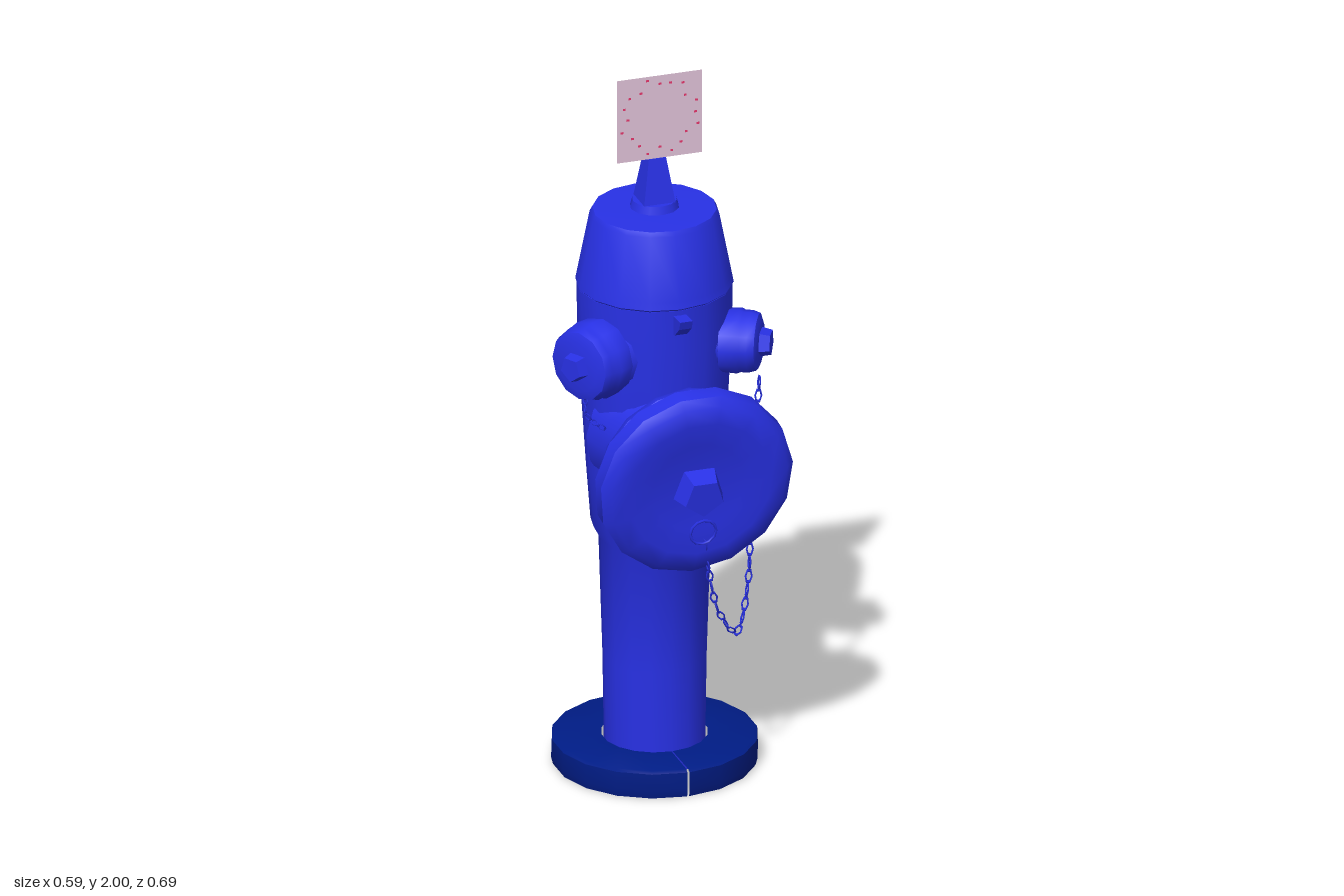
import * as THREE from 'three';
import { toCreasedNormals } from 'three/addons/utils/BufferGeometryUtils.js';

const AXIS_X = 0.01, AXIS_Z = -0.07;

export function createModel() {
  const model = new THREE.Group();
  model.name = 'fireHydrant';
  const mat = (name, color, side = THREE.FrontSide) => {
    const m = new THREE.MeshStandardMaterial({ color, side });
    m.name = name;
    return m;
  };
  const blue = mat('hydrant blue', 0x2831e6);
  const navy = mat('base navy', 0x001c86, THREE.DoubleSide);
  const pink = mat('sign pink', 0xe0c2d8, THREE.DoubleSide);
  const red = mat('speckle red', 0xff3c78, THREE.DoubleSide);

  const add = (parent, name, geo, material, x = 0, y = 0, z = 0) => {
    const mesh = new THREE.Mesh(geo, material);
    mesh.name = name;
    mesh.position.set(x, y, z);
    parent.add(mesh);
    return mesh;
  };
  const lathe = (pts, sides, start = 0, length = Math.PI * 2) => toCreasedNormals(
    new THREE.LatheGeometry(pts.map(p => new THREE.Vector2(...p)), sides, start, length), 0.75);
  // Turned part whose axis points along +z
  const turned = (pts, sides) => lathe(pts, sides).rotateX(Math.PI / 2);

  // Base flange: two open-bottomed halves with a narrow gap
  for (const i of [0, 1]) {
    add(model, 'baseFlangeHalf', lathe([[0.272, 0], [0.277, 0.02], [0.275, 0.07], [0.265, 0.076], [0.142, 0.076]],
      9, i * Math.PI + 0.01, Math.PI - 0.02), navy, AXIS_X, 0, AXIS_Z);
  }

  // Standpipe and barrel
  add(model, 'barrel', lathe([[0, 0.01], [0.134, 0.01], [0.138, 0.3], [0.149, 0.65], [0.17, 0.69],
    [0.182, 0.85], [0.195, 1.05], [0.205, 1.25], [0.207, 1.375], [0, 1.375]], 16), blue, AXIS_X, 0, AXIS_Z);

  // Bonnet
  add(model, 'bonnet', lathe([[0.2, 1.37], [0.21, 1.38], [0.206, 1.4], [0.172, 1.575], [0.165, 1.588], [0, 1.592]], 16),
    blue, AXIS_X, 0, AXIS_Z);

  // Operating nut with its collar
  add(model, 'nutCollar', new THREE.CylinderGeometry(0.06, 0.066, 0.022, 12), blue, AXIS_X, 1.604, AXIS_Z);
  const nut = new THREE.CylinderGeometry(0.034, 0.062, 0.125, 4).rotateY(Math.PI / 4);
  add(model, 'operatingNut', toCreasedNormals(nut, 0.5), blue, AXIS_X, 1.677, AXIS_Z);

  // Large front outlet, tipped slightly downward
  const outlet = new THREE.Group();
  outlet.name = 'frontOutlet';
  outlet.position.set(AXIS_X, 0.967, 0.01);
  outlet.rotation.x = 0.14;
  model.add(outlet);
  add(outlet, 'outletNeck', turned([[0.205, -0.04], [0.19, 0.02], [0.175, 0.06], [0.178, 0.15]], 16), blue);
  add(outlet, 'outletRing', turned([[0.15, 0.13], [0.21, 0.138], [0.238, 0.16], [0.246, 0.185], [0.23, 0.215]], 16), blue);
  add(outlet, 'outletCap', turned([[0.2, 0.195], [0.255, 0.2], [0.27, 0.215], [0.27, 0.262], [0.248, 0.284],
    [0.2, 0.292], [0.13, 0.28], [0, 0.276]], 15), blue);
  add(outlet, 'outletNut', toCreasedNormals(new THREE.CylinderGeometry(0.055, 0.075, 0.065, 5).rotateX(Math.PI / 2), 0.4),
    blue, 0, -0.005, 0.3);

  // Two small outlets, angled forward on either side
  for (const [x, z, r, side] of [[-0.25, 0.072, 0.108, -1], [0.25, 0.076, 0.088, 1]]) {
    const small = new THREE.Group();
    small.name = side < 0 ? 'rightOutlet' : 'leftOutlet';
    small.position.set(x, 1.226, z);
    small.rotation.y = side * 1.07;
    model.add(small);
    add(small, 'smallNeck', turned([[r * 1.25, -0.2], [r * 0.95, -0.14], [r * 0.82, -0.07]], 12), blue);
    add(small, 'smallCap', turned([[r * 0.75, -0.1], [r * 0.98, -0.095], [r, -0.05], [r * 0.95, -0.04],
      [r * 0.95, -0.02], [r * 0.88, 0], [r * 0.65, 0.008], [0, 0.004]], 12), blue);
    add(small, 'smallNut', toCreasedNormals(new THREE.CylinderGeometry(0.035, 0.046, 0.05, 5).rotateX(Math.PI / 2), 0.4),
      blue, 0, 0, 0.01);
  }

  // Wedge-shaped lugs: a side outline given a width across x
  const lug = (name, outline, width) => {
    const shape = new THREE.Shape(outline.map(([z, y]) => new THREE.Vector2(-z, y)));
    const geo = new THREE.ExtrudeGeometry(shape, { depth: width, bevelEnabled: false });
    geo.translate(0, 0, -width / 2).rotateY(Math.PI / 2);
    add(model, name, geo, blue, AXIS_X, 0, 0);
  };
  lug('frontLug', [[0.11, 1.3], [0.11, 1.36], [0.19, 1.365], [0.18, 1.34], [0.145, 1.31]], 0.035);
  lug('backLug', [[-0.25, 1.1], [-0.28, 1.11], [-0.325, 1.17], [-0.29, 1.24], [-0.25, 1.24]], 0.016);
  lug('backSeam', [[-0.2, 0.66], [-0.24, 0.67], [-0.262, 0.95], [-0.284, 1.2], [-0.282, 1.37], [-0.22, 1.37]], 0.012);
  lug('lowerBackLug', [[-0.19, 0.36], [-0.23, 0.365], [-0.21, 0.39], [-0.19, 0.39]], 0.012);
  lug('upperBackLug', [[-0.19, 0.5], [-0.235, 0.51], [-0.215, 0.53], [-0.19, 0.53]], 0.012);

  // Chains: thin links alternating a quarter turn along a path
  const chain = (name, pts, count) => {
    const group = new THREE.Group();
    group.name = name;
    model.add(group);
    const path = new THREE.CatmullRomCurve3(pts.map(p => new THREE.Vector3(...p)));
    const step = path.getLength() / count;
    const geo = new THREE.TorusGeometry(0.009, 0.0025, 4, 6).scale(1, step * 0.6 / 0.0115, 1);
    for (let i = 0; i < count; i++) {
      const u = (i + 0.5) / count;
      const link = add(group, 'chainLink', geo, blue);
      link.position.copy(path.getPointAt(u));
      link.quaternion.setFromUnitVectors(new THREE.Vector3(0, 1, 0), path.getTangentAt(u));
      link.rotateY(i % 2 ? Math.PI / 2 : 0);
    }
  };
  chain('capChain', [[0.03, 0.77, 0.275], [0.055, 0.65, 0.245], [0.09, 0.53, 0.215], [0.16, 0.44, 0.165], [0.205, 0.55, 0.12],
    [0.22, 0.72, 0.1], [0.225, 0.93, 0.12], [0.245, 1.14, 0.1]], 30);
  chain('rightChain', [[-0.235, 1.14, 0.08], [-0.235, 1.09, 0.09], [-0.19, 1.05, 0.11]], 5);
  const ring = add(model, 'chainRing', new THREE.TorusGeometry(0.036, 0.004, 5, 12), blue, 0.02, 0.8, 0.295);
  ring.rotation.x = 0.14;

  // Floating square sign with a loose ring of speckles on both faces
  add(model, 'sign', new THREE.PlaneGeometry(0.238, 0.238), pink, 0, 1.881, 0);
  const speckle = new THREE.PlaneGeometry(0.008, 0.006);
  for (let i = 0; i < 20; i++) {
    const a = i * Math.PI / 10, r = 0.1 + 0.012 * Math.sin(i * 2.4);
    for (const z of [-0.002, 0.002]) {
      add(model, 'signSpeckle', speckle, red, Math.cos(a) * r, 1.883 + Math.sin(a) * r, z);
    }
  }
  return model;
}
